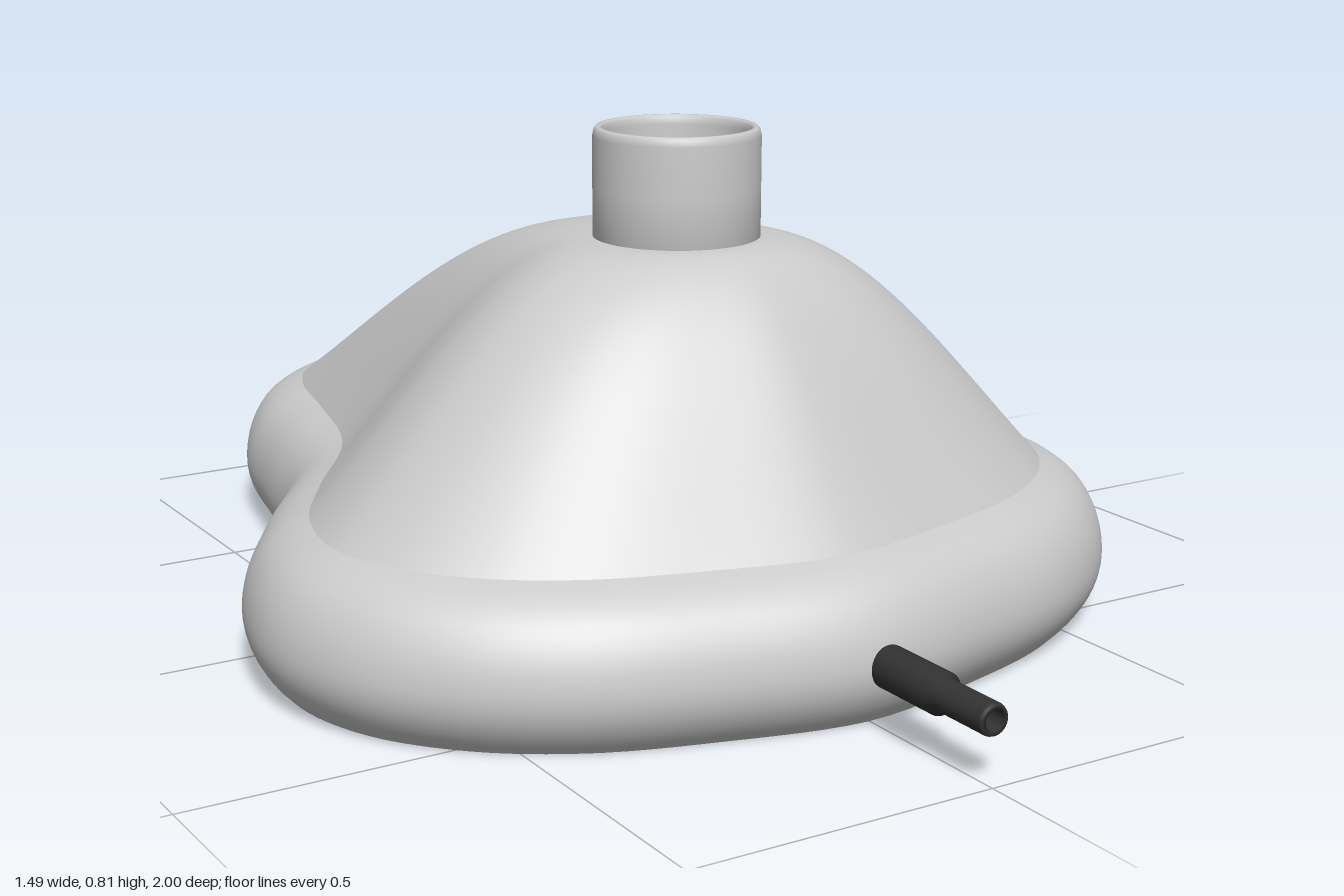
import * as THREE from 'three';

const SEGMENTS = 156;
const NECK = { z: 0.177, r: 0.133, y: 0.64, top: 0.815 };

// Half of the rim outline as (x, z), from the back middle to the front middle
const HALF = [
  [0, -1], [0.18, -0.96], [0.31, -0.855], [0.38, -0.72], [0.42, -0.55], [0.48, -0.33], [0.61, -0.13],
  [0.71, 0.05], [0.746, 0.24], [0.70, 0.41], [0.59, 0.55], [0.44, 0.65], [0.25, 0.715], [0, 0.765],
];

const mirrored = HALF.slice(1, -1).reverse().map(([x, z]) => [-x, z]);
const outline = new THREE.CatmullRomCurve3(
  [...HALF, ...mirrored].map(([x, z]) => new THREE.Vector3(x, 0, z)), true);

// Ring following the outline, moved inward by inset
function outlineRing(inset, y) {
  return Array.from({ length: SEGMENTS }, (_, i) => {
    const u = i / SEGMENTS;
    const p = outline.getPoint(u);
    const t = outline.getTangent(u);
    return new THREE.Vector3(p.x - t.z * inset, y, p.z + t.x * inset);
  });
}

// Smooth skin over a stack of closed rings
function loft(rings) {
  const positions = [];
  const index = [];
  rings.forEach((ring) => ring.forEach((p) => positions.push(p.x, p.y, p.z)));
  for (let j = 0; j < rings.length - 1; j++) {
    for (let i = 0; i < SEGMENTS; i++) {
      const k = (i + 1) % SEGMENTS;
      const a = j * SEGMENTS + i, b = j * SEGMENTS + k;
      const c = b + SEGMENTS, d = a + SEGMENTS;
      index.push(a, d, b, b, d, c);
    }
  }
  const geometry = new THREE.BufferGeometry();
  geometry.setAttribute('position', new THREE.Float32BufferAttribute(positions, 3));
  geometry.setIndex(index);
  geometry.computeVertexNormals();
  return geometry;
}

function addMesh(parent, name, geometry, material) {
  const mesh = new THREE.Mesh(geometry, material);
  mesh.name = name;
  parent.add(mesh);
  return mesh;
}

const profile = (points) => points.map(([x, y]) => new THREE.Vector2(x, y));

export function createModel() {
  const group = new THREE.Group();
  group.name = 'faceMask';
  const grey = new THREE.MeshStandardMaterial({ color: 0xcccccc, side: THREE.DoubleSide });
  const dark = new THREE.MeshStandardMaterial({ color: 0x333333, side: THREE.DoubleSide });

  // Rounded cushion around the open underside
  const bulge = new THREE.SplineCurve(profile([
    [0.048, 0], [0.025, 0.025], [0.006, 0.06], [0, 0.1], [0.01, 0.15], [0.035, 0.195], [0.07, 0.224], [0.108, 0.24],
  ]));
  addMesh(group, 'cushion', loft(bulge.getPoints(21).map((p) => outlineRing(p.x, p.y))), grey);

  // Hollow dome blending from the cushion seam to the round neck
  const seam = outlineRing(0.108, 0.24);
  const domeRings = [];
  const steps = 28;
  for (let j = 0; j <= steps; j++) {
    const t = j / steps;
    const rise = Math.sin(t * Math.PI / 2) - 0.25 * t * (1 - t) ** 2;
    domeRings.push(seam.map((p, i) => {
      const angle = (i / SEGMENTS) * Math.PI * 2;
      const x = NECK.r * Math.sin(angle);
      const z = NECK.z - NECK.r * Math.cos(angle);
      return new THREE.Vector3(
        THREE.MathUtils.lerp(p.x, x, t),
        THREE.MathUtils.lerp(0.24, NECK.y, rise),
        THREE.MathUtils.lerp(p.z, z, t));
    }));
  }
  addMesh(group, 'dome', loft(domeRings), grey);

  // Open neck tube with a softly rounded lip
  const neck = addMesh(group, 'neck', new THREE.LatheGeometry(profile([
    [0.117, NECK.y], [0.117, 0.72], [0.117, 0.8], [0.119, 0.81], [0.122, NECK.top],
    [0.128, NECK.top], [0.132, 0.81], [0.134, 0.8], [0.134, 0.72], [0.134, NECK.y], [0.117, NECK.y],
  ].reverse()), 64), grey);
  neck.position.z = NECK.z;

  // Stepped hollow port at the front, turned to point along +z
  const port = addMesh(group, 'port', new THREE.LatheGeometry(profile([
    [0.016, 0.74], [0.033, 0.74], [0.033, 0.885], [0.025, 0.89], [0.025, 0.995],
    [0.023, 1], [0.016, 1], [0.016, 0.74],
  ]), 32), dark);
  port.rotation.x = Math.PI / 2;
  port.position.y = 0.1;

  return group;
}
